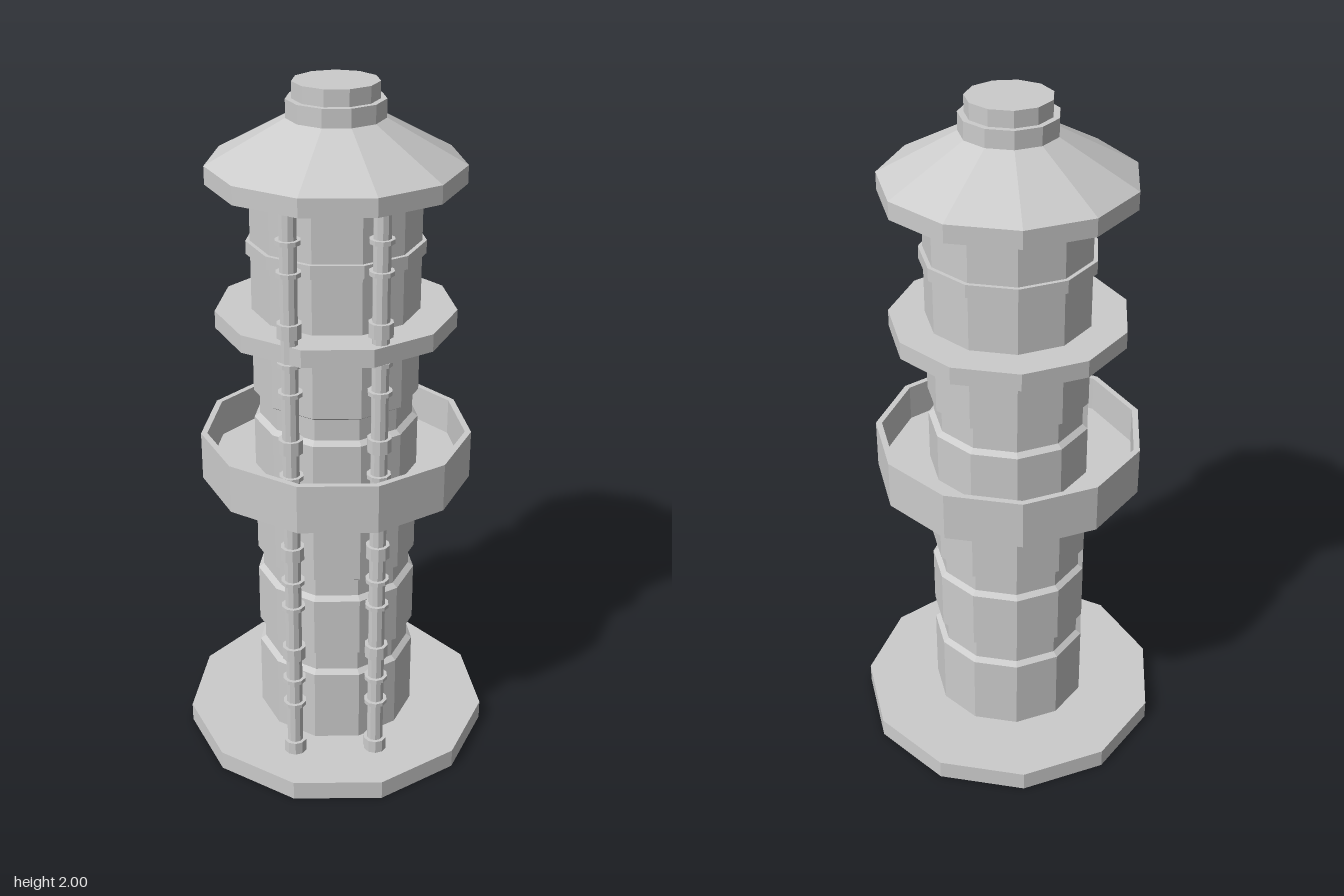
import * as THREE from 'three';

const SIDES = 11;
const TURN = Math.PI - 0.022; // rotation shared by all eleven-sided rings

const material = new THREE.MeshStandardMaterial({
  color: 0xcccccc, flatShading: true, side: THREE.DoubleSide,
});

// Revolve a [radius, height] profile into a faceted part
function turned(name, profile, sides = SIDES, start = TURN) {
  const points = profile.map(([r, y]) => new THREE.Vector2(r, y));
  const mesh = new THREE.Mesh(new THREE.LatheGeometry(points, sides, start), material);
  mesh.name = name;
  return mesh;
}

// Flat ring with a hole for the tower
function ring(name, inner, outer, bottom, top) {
  return turned(name, [[inner, bottom], [outer, bottom], [outer, top], [inner, top]]);
}

// Slender pipe with a repeating pattern of one thick and two thin collars
function pipe(x) {
  const group = new THREE.Group();
  group.name = 'pipe';
  const add = (name, r, bottom, top) => {
    const mesh = new THREE.Mesh(new THREE.CylinderGeometry(r, r, top - bottom, 10), material);
    mesh.name = name;
    mesh.position.y = (bottom + top) / 2;
    group.add(mesh);
  };
  add('pipeShaft', 0.024, 0, 1.735);
  for (let i = 0; i < 5; i++) {
    const y = 0.08 + i * 0.335;
    add('thickCollar', 0.034, y - 0.02, y + 0.02);
    add('thinCollar', 0.034, y + 0.148, y + 0.16);
    add('thinCollar', 0.034, y + 0.233, y + 0.245);
  }
  group.position.set(x, 0, 0.278);
  return group;
}

export function createModel() {
  const model = new THREE.Group();
  model.name = 'tower';

  // Base plate, open under the hollow shaft
  model.add(ring('base', 0.232, 0.457, 0, 0.058));

  // Hollow shaft with recessed bands
  const wide = 0.235, narrow = 0.219;
  const profile = [[wide, 0]];
  for (const [low, high] of [[0.285, 0.355], [0.545, 0.61], [0.8, 0.87], [1.05, 1.125]]) {
    profile.push([wide, low], [narrow, low + 0.012], [narrow, high], [wide, high + 0.01]);
  }
  profile.push([wide, 1.76]);
  model.add(turned('shaft', profile));

  // Gallery with a raised parapet
  model.add(turned('gallery', [
    [0.215, 0.865], [0.39, 0.865], [0.39, 1.008], [0.372, 1.008], [0.372, 0.9], [0.215, 0.9],
  ]));

  // Upper ledge and the thin band over it
  model.add(ring('ledge', 0.23, 0.337, 1.33, 1.38));
  model.add(ring('band', 0.23, 0.247, 1.54, 1.577));

  // Conical roof with a stepped cap
  model.add(turned('roof', [[0.23, 1.737], [0.351, 1.737], [0.351, 1.787], [0.125, 1.91]]));
  model.add(turned('cap', [
    [0.134, 1.905], [0.134, 1.955], [0.117, 1.955], [0.117, 2], [0, 2],
  ]));

  // Pair of pipes up the front
  for (const x of [-0.131, 0.107]) model.add(pipe(x));

  return model;
}
